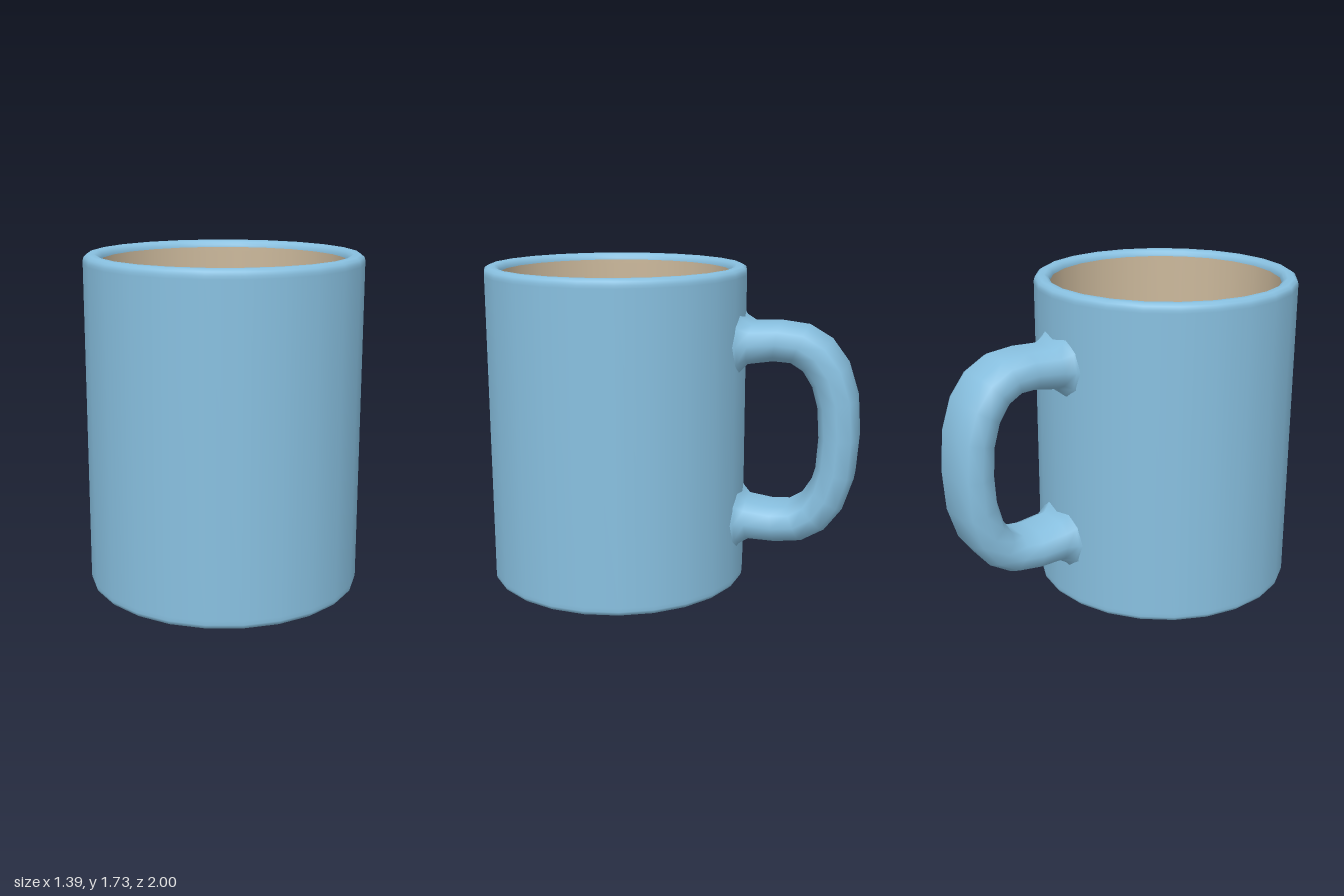
import * as THREE from 'three';

const SIDES = 24, RADIUS = 0.695, CENTER_Z = 0.305, MID_Y = 0.862;

const glaze = new THREE.MeshStandardMaterial({ color: 0x88c0e0 });
glaze.name = 'blue glaze';
const clay = new THREE.MeshStandardMaterial({ color: 0xcbb89b });
clay.name = 'tan clay';

function turned(name, material, profile) {
  const points = profile.map(([r, y]) => new THREE.Vector2(r, y));
  const mesh = new THREE.Mesh(new THREE.LatheGeometry(points, SIDES), material);
  mesh.name = name;
  mesh.position.z = CENTER_Z;
  return mesh;
}

// Flattened loop swept along the handle, flaring where it meets the wall
function handleGeometry() {
  // outer z, outer y, inner z, inner y, half width, how closely it follows the round wall
  const upper = [
    [-0.375, 1.50, -0.375, 1.18, 0.215, 1],
    [-0.395, 1.47, -0.395, 1.205, 0.195, 0.9],
    [-0.44, 1.442, -0.42, 1.236, 0.175, 0.3],
    [-0.58, 1.447, -0.55, 1.256, 0.172, 0],
    [-0.72, 1.43, -0.64, 1.25, 0.172, 0],
    [-0.84, 1.36, -0.705, 1.21, 0.172, 0],
    [-0.93, 1.24, -0.755, 1.13, 0.172, 0],
    [-0.985, 1.07, -0.785, 1.02, 0.172, 0],
  ];
  const middle = [-1.0, MID_Y, -0.795, MID_Y, 0.172, 0];
  const lower = upper.map(([oz, oy, iz, iy, w, f]) =>
    [oz, 2 * MID_Y - oy, iz, 2 * MID_Y - iy, w, f]).reverse();
  const rings = [...upper, middle, ...lower];
  const section = [
    [1, 0], [0.87, 0.68], [0.49, 1], [-0.49, 1], [-0.87, 0.68],
    [-1, 0], [-0.87, -0.68], [-0.49, -1], [0.49, -1], [0.87, -0.68],
  ];
  const n = section.length, positions = [], indices = [];
  rings.forEach(([oz, oy, iz, iy, w, follow], i) => {
    section.forEach(([u, v], j) => {
      const x = u * w;
      const wrap = follow * (RADIUS - Math.sqrt(RADIUS * RADIUS - x * x));
      positions.push(
        x,
        (oy + iy) / 2 + v * (oy - iy) / 2,
        (oz + iz) / 2 + v * (oz - iz) / 2 + wrap
      );
      if (i < rings.length - 1) {
        const a = i * n + j, b = i * n + (j + 1) % n;
        indices.push(a, a + n, b + n, a, b + n, b);
      }
    });
  });
  const geometry = new THREE.BufferGeometry();
  geometry.setAttribute('position', new THREE.Float32BufferAttribute(positions, 3));
  geometry.setIndex(indices);
  geometry.computeVertexNormals();
  return geometry;
}

export function createModel() {
  const mug = new THREE.Group();
  mug.name = 'mug';

  // Outer wall with softened base edge and rounded rim
  mug.add(turned('body', glaze, [
    [0.58, 0.024], [0.665, 0.024], [0.68, 0.027], [0.692, 0.038], [RADIUS, 0.05], [RADIUS, 0.07],
    [RADIUS, 1.68], [RADIUS, 1.695], [0.69, 1.713], [0.672, 1.725],
    [0.64, 1.725], [0.622, 1.716], [0.614, 1.70], [0.612, 1.69],
  ]));

  // Inside wall and floor
  mug.add(turned('lining', clay, [
    [0.612, 1.69], [0.612, 1.67], [0.61, 0.15], [0.608, 0.13], [0.6, 0.11], [0.58, 0.1], [0.56, 0.1], [0, 0.1],
  ]));

  // Unglazed foot
  mug.add(turned('foot', clay, [
    [0, 0], [0.57, 0], [0.588, 0], [0.6, 0.009], [0.605, 0.026],
  ]));

  const handle = new THREE.Mesh(handleGeometry(), glaze);
  handle.name = 'handle';
  mug.add(handle);

  return mug;
}
